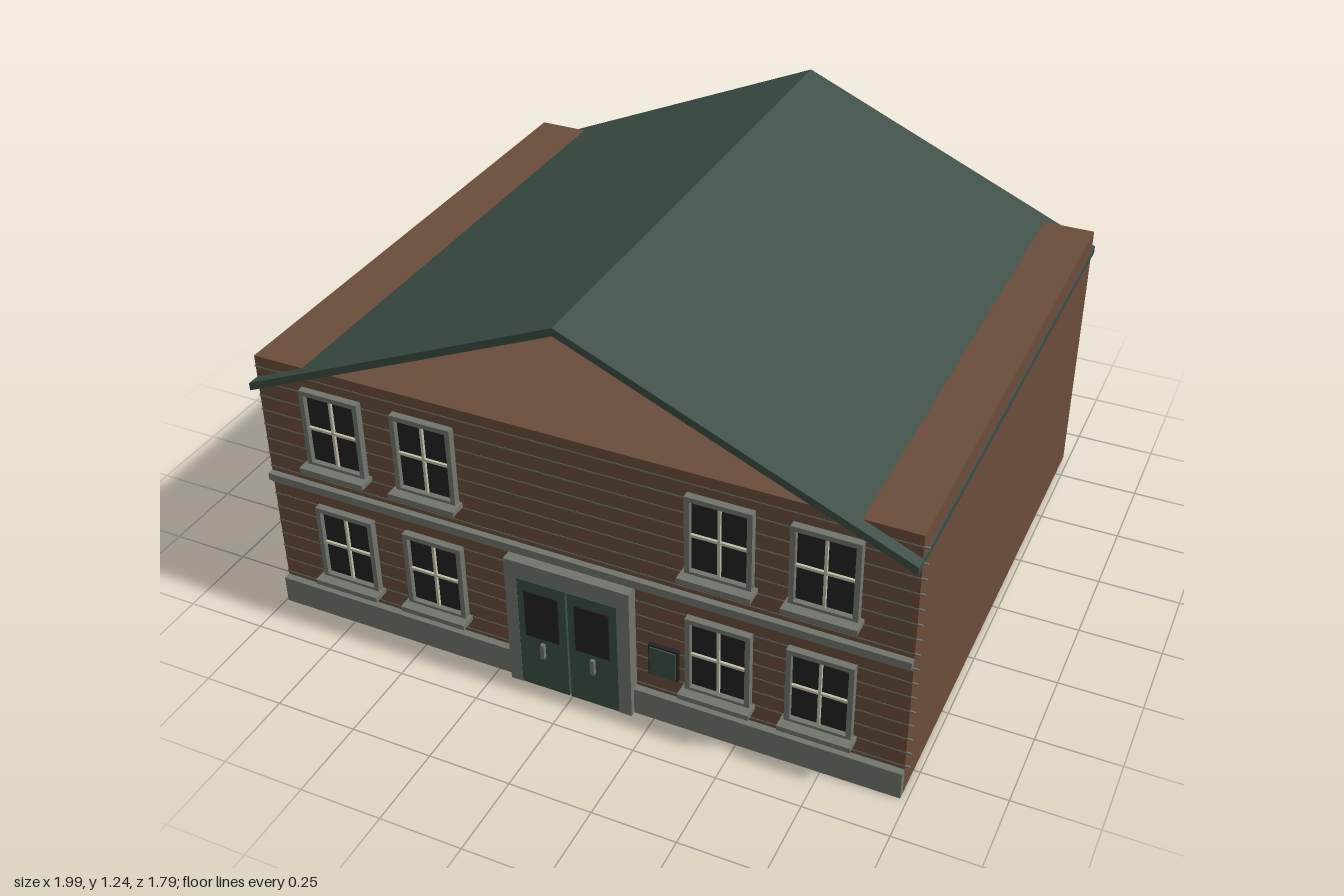
import * as THREE from 'three';

const mat = (name, color) => {
  const m = new THREE.MeshStandardMaterial({ color });
  m.name = name;
  return m;
};

export function createModel() {
  const brick = mat('brick brown', 0x6b4d3b);
  const stone = mat('grey stone', 0x70756c);
  const mortar = mat('mortar grey', 0x6f7468);
  const roofGreen = mat('roof green', 0x3b4d44);
  const doorGreen = mat('door green', 0x3a5044);
  const glass = mat('dark glass', 0x222222);
  const cream = mat('cream bars', 0xc2bda8);

  const model = new THREE.Group();
  model.name = 'building';
  const CX = -0.006; // centre line of the building
  const WALL = 0.842; // front face of the brick wall

  // Box given by its limits on each axis
  const box = (parent, name, m, x0, x1, y0, y1, z0, z1) => {
    const mesh = new THREE.Mesh(new THREE.BoxGeometry(x1 - x0, y1 - y0, z1 - z0), m);
    mesh.position.set((x0 + x1) / 2, (y0 + y1) / 2, (z0 + z1) / 2);
    mesh.name = name;
    parent.add(mesh);
    return mesh;
  };

  // Closed outline in x and y, pushed out along z
  const extrude = (parent, name, m, pts, z0, z1, hole) => {
    const shape = new THREE.Shape(pts.map(p => new THREE.Vector2(...p)));
    if (hole) shape.holes.push(new THREE.Path(hole.map(p => new THREE.Vector2(...p))));
    const mesh = new THREE.Mesh(
      new THREE.ExtrudeGeometry(shape, { depth: z1 - z0, bevelEnabled: false }), m);
    mesh.position.z = z0;
    mesh.name = name;
    parent.add(mesh);
    return mesh;
  };
  const rect = (x0, x1, y0, y1) => [[x0, y0], [x1, y0], [x1, y1], [x0, y1]];

  // Brick body
  box(model, 'walls', brick, -0.994, 0.981, 0, 0.876, -0.855, WALL);

  // Thin mortar courses across the front
  const courses = new THREE.Group();
  courses.name = 'mortarCourses';
  for (let i = 0; i < 16; i++) {
    const y = 0.1 + i * 0.0494;
    box(courses, 'mortarCourse', mortar, -0.997, 0.996, y - 0.002, y + 0.002, WALL - 0.004, WALL + 0.001);
  }
  model.add(courses);

  // Stone base, and string course between the floors
  box(model, 'plinthLeft', stone, 0.185, 0.981, 0, 0.088, WALL, 0.864);
  box(model, 'plinthRight', stone, -0.994, -0.2, 0, 0.088, WALL, 0.864);
  box(model, 'stringCourse', stone, -0.994, 0.981, 0.457, 0.48, WALL, 0.862);
  box(model, 'stringCourseLowerLip', stone, -0.994, 0.981, 0.443, 0.457, WALL, 0.85);

  // Open-gabled roof: one bent slab that meets the wall tops
  const half = 0.989, rise = 0.432, t = 0.024, top = 1.237;
  extrude(model, 'roof', roofGreen, [
    [CX - half, top - rise - t], [CX, top - t], [CX + half, top - rise - t],
    [CX + half, top - rise], [CX, top], [CX - half, top - rise],
  ], -0.893, 0.88);

  // Sash window with frame, glazing bars and sill
  const addWindow = (x, y) => {
    const g = new THREE.Group();
    g.name = 'window';
    g.position.set(x, y, 0);
    const w = 0.096, h = 0.128;
    box(g, 'pane', glass, -w + 0.012, w - 0.012, -h + 0.012, h - 0.012, WALL, 0.848);
    extrude(g, 'windowFrame', stone, rect(-w, w, -h, h), WALL, 0.864,
      rect(-w + 0.015, w - 0.015, -h + 0.015, h - 0.015));
    box(g, 'uprightBar', cream, -0.004, 0.004, -h + 0.015, h - 0.015, 0.848, 0.857);
    box(g, 'crossBar', cream, -w + 0.015, w - 0.015, -0.004, 0.004, 0.848, 0.856);
    box(g, 'sill', stone, -0.106, 0.106, -h - 0.01, -h + 0.006, WALL, 0.894);
    model.add(g);
  };
  for (const dx of [-0.739, -0.442, 0.448, 0.742]) {
    addWindow(CX + dx, 0.685);
    addWindow(CX + dx, 0.275);
  }

  // Entrance: stone surround and a pair of glazed doors
  const entrance = new THREE.Group();
  entrance.name = 'entrance';
  entrance.position.x = CX;
  extrude(entrance, 'doorSurround', stone,
    [[-0.194, 0], [-0.156, 0], [-0.156, 0.387], [0.156, 0.387], [0.156, 0], [0.194, 0],
      [0.194, 0.442], [-0.194, 0.442]], WALL, 0.881);
  box(entrance, 'doorGap', glass, -0.156, 0.156, 0, 0.387, WALL, 0.862);
  for (const s of [-1, 1]) {
    const leaf = new THREE.Group();
    leaf.name = s < 0 ? 'doorRight' : 'doorLeft';
    leaf.position.x = s * 0.079;
    box(leaf, 'doorLeaf', doorGreen, -0.076, 0.076, 0.003, 0.385, 0.862, 0.882);
    box(leaf, 'doorPane', glass, -0.053, 0.053, 0.19, 0.35, 0.882, 0.887);
    box(leaf, 'doorHandle', stone, -0.006, 0.006, 0.122, 0.172, 0.882, 0.894);
    entrance.add(leaf);
  }
  model.add(entrance);

  // Blank notice board beside the door
  box(model, 'noticeBoardRim', glass, 0.232, 0.321, 0.158, 0.264, WALL, 0.856);
  box(model, 'noticeBoard', doorGreen, 0.237, 0.316, 0.163, 0.259, 0.856, 0.861);

  return model;
}
